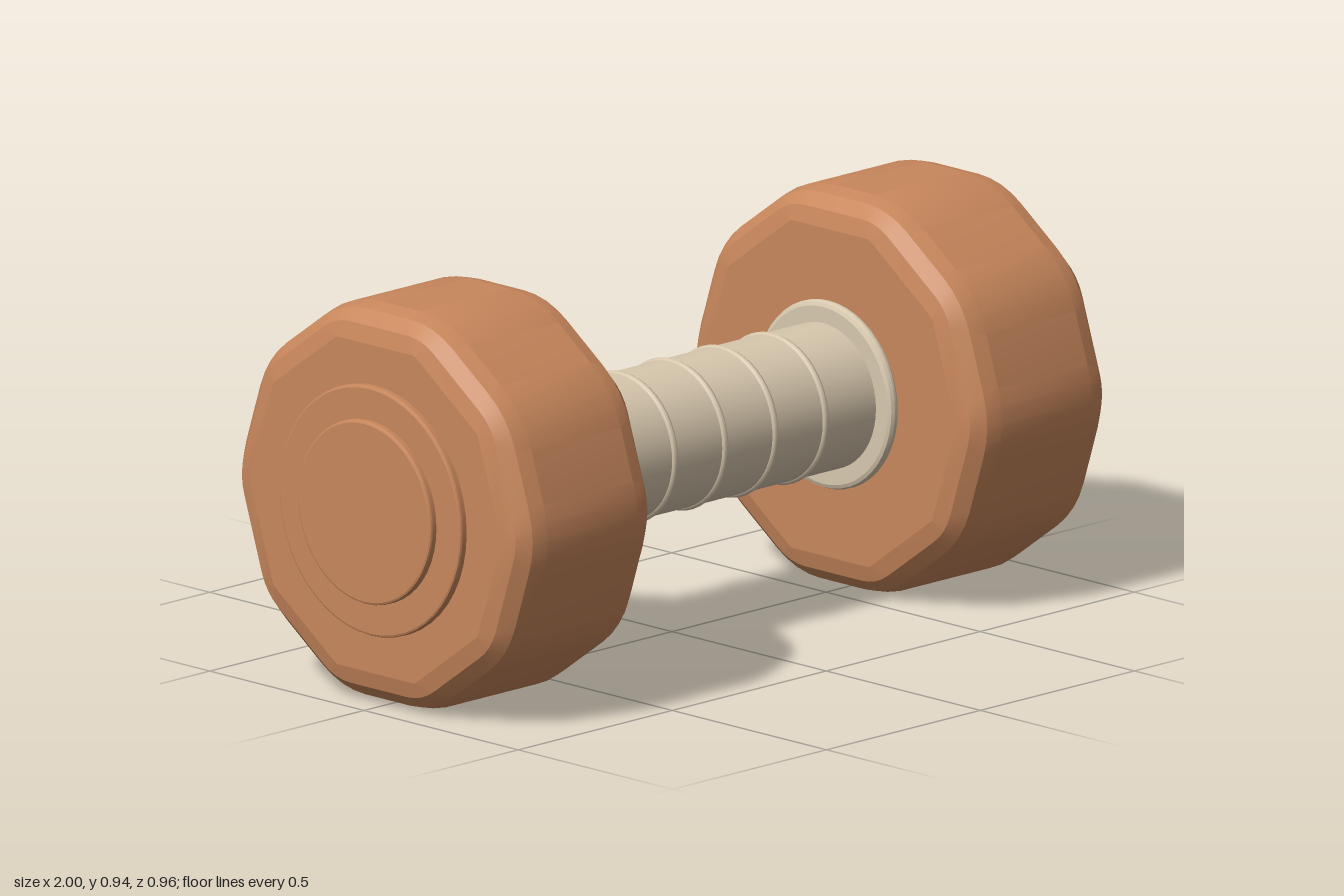
import * as THREE from 'three';
import { toCreasedNormals } from 'three/addons/utils/BufferGeometryUtils.js';

const SIDES = 10, ARC = 4, AXIS_Y = 0.47;

// Ten-sided cross-section with rounded corners, as [y, z] pairs
function roundedDecagon(apothem, radius) {
  const half = Math.PI / SIDES, points = [];
  const centre = (apothem - radius) / Math.cos(half);
  for (let k = 0; k < SIDES; k++) {
    const corner = half * (2 * k + 1);
    for (let i = 0; i <= ARC; i++) {
      const a = corner - half + (2 * half * i) / ARC;
      points.push([
        centre * Math.cos(corner) + radius * Math.cos(a),
        centre * Math.sin(corner) + radius * Math.sin(a),
      ]);
    }
  }
  return points;
}

// Weight head: decagon sections lofted along x, with a rounded rim on both ends
function headGeometry(x0, x1) {
  const bevel = 0.08, steps = 3, sections = [];
  for (let i = 0; i <= steps; i++) {
    const t = (i / steps) * Math.PI / 2;
    sections.push([x0 + bevel * (1 - Math.cos(t)), 0.389 + bevel * Math.sin(t), 0.02 + 0.25 * Math.sin(t)]);
  }
  for (let i = steps; i >= 0; i--) {
    const [x, apothem, radius] = sections[i];
    sections.push([x0 + x1 - x, apothem, radius]);
  }
  const n = SIDES * (ARC + 1), position = [], index = [];
  for (const [x, apothem, radius] of sections) {
    for (const [y, z] of roundedDecagon(apothem, radius)) position.push(x, y, z);
  }
  const last = (sections.length - 1) * n, c0 = sections.length * n, c1 = c0 + 1;
  position.push(x0, 0, 0, x1, 0, 0);
  for (let j = 0; j < n; j++) {
    const k = (j + 1) % n;
    for (let s = 0; s < last; s += n) {
      index.push(s + j, s + k, s + n + j, s + k, s + n + k, s + n + j);
    }
    index.push(c0, k, j, c1, last + j, last + k);
  }
  const geometry = new THREE.BufferGeometry();
  geometry.setAttribute('position', new THREE.Float32BufferAttribute(position, 3));
  geometry.setIndex(index);
  return toCreasedNormals(geometry.toNonIndexed(), 0.25);
}

// Round disc along x with softened edges
function discGeometry(radius, x0, x1, b) {
  const profile = [
    [0, x0], [radius - b, x0], [radius - b * 0.3, x0 + b * 0.3], [radius, x0 + b],
    [radius, x1 - b], [radius - b * 0.3, x1 - b * 0.3], [radius - b, x1], [0, x1],
  ].map(([r, x]) => new THREE.Vector2(r, x));
  const geometry = new THREE.LatheGeometry(profile, 48).rotateZ(-Math.PI / 2);
  return toCreasedNormals(geometry.toNonIndexed(), 0.4);
}

export function createModel() {
  const copper = new THREE.MeshStandardMaterial({ color: 0xc8875c });
  copper.name = 'copper';
  const cream = new THREE.MeshStandardMaterial({ color: 0xd8c8ae });
  cream.name = 'cream';

  const model = new THREE.Group();
  model.name = 'dumbbell';
  const add = (parent, name, geometry, material) => {
    const mesh = new THREE.Mesh(geometry, material);
    mesh.name = name;
    parent.add(mesh);
    return mesh;
  };

  // Handle with five raised grip rings
  const handle = new THREE.Group();
  handle.name = 'handle';
  handle.position.y = AXIS_Y;
  model.add(handle);
  add(handle, 'bar', new THREE.CylinderGeometry(0.172, 0.172, 1.04, 48, 1, true).rotateZ(Math.PI / 2), cream);
  const ring = new THREE.TorusGeometry(0.169, 0.01, 8, 48).rotateY(Math.PI / 2);
  for (let i = -2; i <= 2; i++) {
    add(handle, 'gripRing', ring, cream).position.x = i * 0.163;
  }

  // Two identical ends, one turned half round
  const head = headGeometry(0.513, 0.963);
  const collar = discGeometry(0.222, 0.49, 0.52, 0.012);
  const outerDisc = discGeometry(0.296, 0.95, 0.982, 0.006);
  const innerDisc = discGeometry(0.217, 0.97, 1.0, 0.006);
  for (const side of ['left', 'right']) {
    const end = new THREE.Group();
    end.name = side + 'End';
    end.position.y = AXIS_Y;
    end.rotation.y = side === 'left' ? 0 : Math.PI;
    model.add(end);
    add(end, 'weightHead', head, copper);
    add(end, 'collar', collar, cream);
    add(end, 'outerEndDisc', outerDisc, copper);
    add(end, 'innerEndDisc', innerDisc, copper);
  }
  return model;
}
